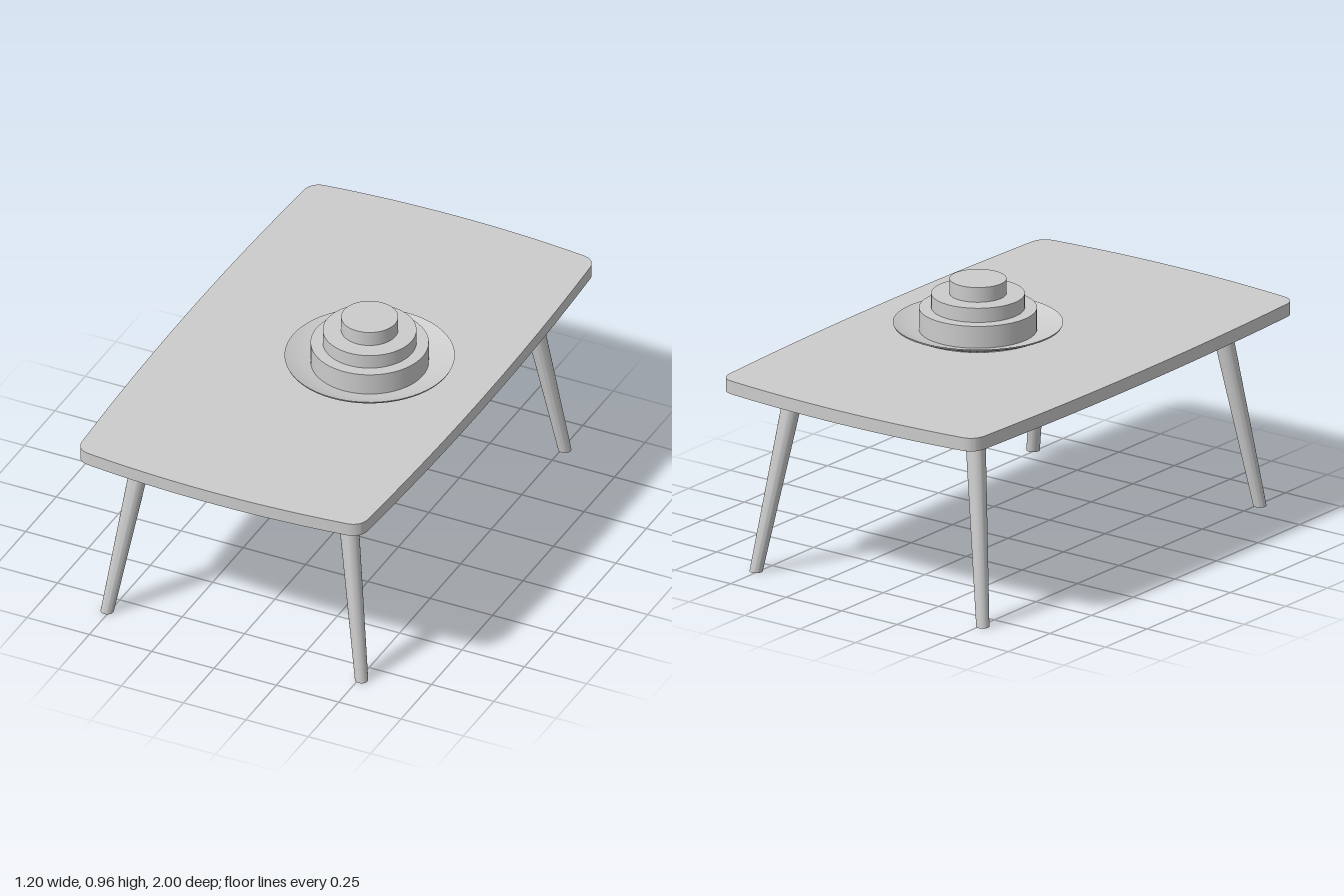
import * as THREE from 'three';
import { toCreasedNormals } from 'three/addons/utils/BufferGeometryUtils.js';

const material = new THREE.MeshStandardMaterial({ color: 0xcccccc });

function addPart(parent, name, geometry, x = 0, y = 0, z = 0) {
  const mesh = new THREE.Mesh(geometry, material);
  mesh.name = name;
  mesh.position.set(x, y, z);
  parent.add(mesh);
  return mesh;
}

// Slab with gently bowed sides and rounded corners
function tableTopGeometry(height) {
  const s = new THREE.Shape();
  s.moveTo(-0.52, -0.97);
  s.quadraticCurveTo(0, -1.03, 0.52, -0.97);
  s.quadraticCurveTo(0.569, -0.962, 0.574, -0.91);
  s.quadraticCurveTo(0.624, 0, 0.574, 0.91);
  s.quadraticCurveTo(0.569, 0.962, 0.52, 0.97);
  s.quadraticCurveTo(0, 1.03, -0.52, 0.97);
  s.quadraticCurveTo(-0.569, 0.962, -0.574, 0.91);
  s.quadraticCurveTo(-0.624, 0, -0.574, -0.91);
  s.quadraticCurveTo(-0.569, -0.962, -0.52, -0.97);
  const g = new THREE.ExtrudeGeometry(s, { depth: height, bevelEnabled: false, curveSegments: 12 });
  g.rotateX(-Math.PI / 2);
  return toCreasedNormals(g, 0.5);
}

// Tapered leg, sheared outward so both ends stay level
function legGeometry(height, dx, dz) {
  const g = new THREE.CylinderGeometry(0.0375, 0.024, height, 24);
  g.translate(0, height / 2, 0);
  const p = g.attributes.position;
  for (let i = 0; i < p.count; i++) {
    const t = 1 - p.getY(i) / height;
    p.setX(i, p.getX(i) + dx * t);
    p.setZ(i, p.getZ(i) + dz * t);
  }
  return toCreasedNormals(g, 0.6);
}

export function createModel() {
  const model = new THREE.Group();
  model.name = 'tableWithCake';

  addPart(model, 'tableTop', tableTopGeometry(0.05), 0, 0.71, 0);
  addPart(model, 'apron', new THREE.BoxGeometry(0.8, 0.075, 1.47), 0, 0.6725, 0);

  // Four splayed legs
  for (const [sx, xName] of [[1, 'Left'], [-1, 'Right']]) {
    for (const [sz, zName] of [[1, 'front'], [-1, 'back']]) {
      addPart(model, `${zName}${xName}Leg`, legGeometry(0.71, sx * 0.107, sz * 0.097),
        sx * 0.403, 0, sz * 0.736);
    }
  }

  // Dished plate
  const cake = new THREE.Group();
  cake.name = 'cakeOnPlate';
  cake.position.set(0.135, 0.76, 0);
  model.add(cake);
  const profile = [[0, 0.001], [0.24, 0.001], [0.304, 0.03], [0.307, 0.037], [0.24, 0.01], [0, 0.01]]
    .map(([r, y]) => new THREE.Vector2(r, y));
  addPart(cake, 'plate', toCreasedNormals(new THREE.LatheGeometry(profile, 64), 0.6));

  // Stacked tiers
  let base = 0.01;
  [[0.213, 0.093], [0.169, 0.147], [0.103, 0.203]].forEach(([r, top], i) => {
    addPart(cake, `tier${i + 1}`, new THREE.CylinderGeometry(r, r, top - base, 64), 0, (top + base) / 2, 0);
    base = top;
  });

  return model;
}
